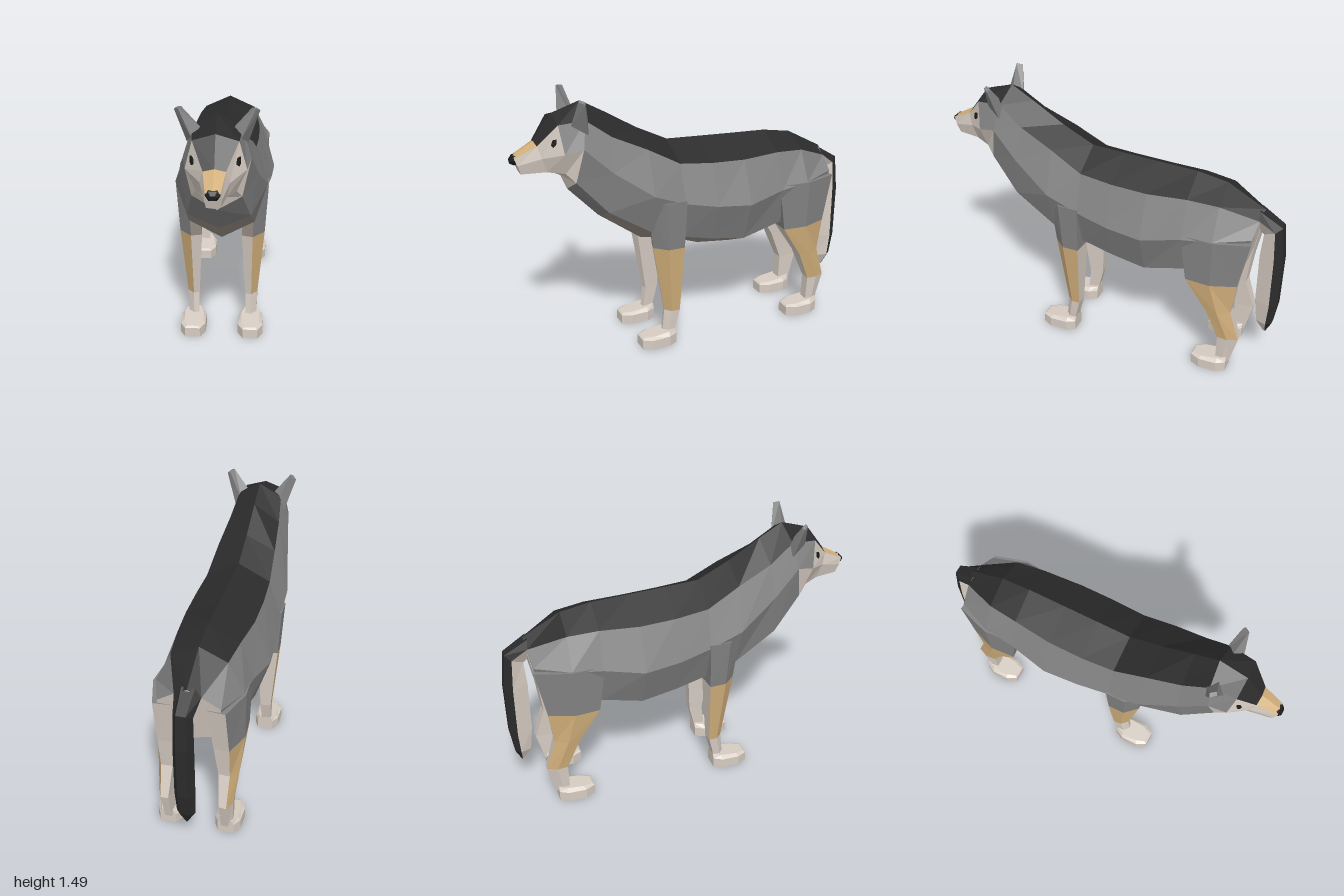
import * as THREE from 'three';

const makeMaterial = (name, color) => {
  const m = new THREE.MeshStandardMaterial({ color });
  m.name = name;
  return m;
};
const grey = makeMaterial('grey fur', 0x828282);
const black = makeMaterial('black saddle', 0x2b2b2b);
const cream = makeMaterial('cream fur', 0xd6ccc2);
const tan = makeMaterial('tan fur', 0xd0ae7a);
const taupe = makeMaterial('belly fur', 0x968d84);
const dark = makeMaterial('nose and soles', 0x1b1b1b);

// Loft closed rings of [x, y, z] into faceted faces; colourOf(row, column) picks each material.
function loft(name, rings, colourOf, capStart, capEnd) {
  const n = rings[0].length;
  const tris = [];
  const add = (a, b, c, mat) => tris.push({ p: [a, b, c], mat });
  for (let i = 0; i < rings.length - 1; i++) {
    for (let j = 0; j < n; j++) {
      const k = (j + 1) % n, a = rings[i], b = rings[i + 1], mat = colourOf(i, j);
      add(a[j], a[k], b[k], mat);
      add(a[j], b[k], b[j], mat);
    }
  }
  const cap = (ring, mat, reverse) => {
    const c = [0, 1, 2].map(d => ring.reduce((s, p) => s + p[d], 0) / n);
    ring.forEach((p, j) => {
      const q = ring[(j + 1) % n];
      if (reverse) add(c, q, p, mat);
      else add(c, p, q, mat);
    });
  };
  cap(rings[0], capStart, true);
  cap(rings[rings.length - 1], capEnd, false);

  // Turn all faces outward by the sign of the enclosed volume
  const o = new THREE.Vector3(...rings[0][0]);
  let volume = 0;
  for (const t of tris) {
    const [a, b, c] = t.p.map(p => new THREE.Vector3(...p).sub(o));
    volume += a.dot(b.cross(c));
  }
  const geometry = new THREE.BufferGeometry();
  const mats = [...new Set(tris.map(t => t.mat))];
  const pos = [];
  mats.forEach((mat, index) => {
    const start = pos.length / 3;
    for (const t of tris.filter(f => f.mat === mat)) {
      const p = volume < 0 ? [t.p[0], t.p[2], t.p[1]] : t.p;
      pos.push(...p.flat());
    }
    geometry.addGroup(start, pos.length / 3 - start, index);
  });
  geometry.setAttribute('position', new THREE.Float32BufferAttribute(pos, 3));
  geometry.computeVertexNormals();
  const mesh = new THREE.Mesh(geometry, mats);
  mesh.name = name;
  return mesh;
}

const flip = (rings, side) => rings.map(r => r.map(([x, y, z]) => [x * side, y, z]));

// Half section: spine, saddle edge, widest, lower side, underside; lean slides lower points along z
const halfSection = ([z, lean, top, saddleX, saddleY, wideX, wideY, lowX, lowY, bottom]) =>
  [[0, top], [saddleX, saddleY], [wideX, wideY], [lowX, lowY], [0, bottom]]
    .map(([x, y]) => [x, y, z + lean * (top - y)]);

const torso = [
  [-.87, .2, .985, .07, .945, .165, .88, .14, .68, .64],
  [-.66, 0, 1.1, .15, 1.03, .235, .86, .17, .63, .58],
  [-.49, 0, 1.13, .17, 1.045, .245, .84, .19, .62, .57],
  [-.27, 0, 1.14, .19, 1.04, .28, .8, .2, .57, .475],
  [-.07, 0, 1.15, .19, 1.05, .268, .82, .19, .6, .5],
  [.12, -.02, 1.16, .18, 1.07, .25, .86, .18, .64, .565],
].map(halfSection);
const neckAndHead = [
  [.3, -.02, 1.25, .165, 1.17, .248, .93, .18, .7, .6],
  [.48, .09, 1.36, .145, 1.26, .2, 1.08, .165, .85, .78],
  [.61, .19, 1.435, .125, 1.36, .168, 1.22, .125, 1.03, .96],
  [.77, -.12, 1.385, .112, 1.35, .15, 1.2, .1, 1.08, 1.04],
  [.87, -.3, 1.25, .055, 1.235, .072, 1.17, .058, 1.09, 1.085],
  [.985, -.35, 1.185, .036, 1.178, .042, 1.14, .034, 1.09, 1.085],
].map(halfSection);

function bodyColour(row, col) {
  const c = col > 3 ? 7 - col : col;
  if (c === 0) return row === 10 ? tan : black;
  if (row >= 9) return cream;
  if (row === 8) return c === 1 ? grey : cream;
  return c === 3 && row !== 7 ? taupe : grey;
}

// Leg ring: a five-sided outline fitted between inner and outer x, front and back z
const legRings = (outline, rows) => rows.map(([y, inner, outer, front, back]) =>
  outline.map(([u, v]) => [inner + (outer - inner) * u, y, front + (back - front) * v]));

const frontLeg = legRings([[0, .1], [.47, 0], [.98, .4], [1, .95], [.1, 1]], [
  [.88, .12, .255, .31, .1],
  [.6, .11, .237, .28, .11],
  [.2, .132, .2, .215, .13],
  [.06, .135, .195, .23, .165],
]);
const hindLeg = legRings([[0, .02], [.92, 0], [1, .5], [.65, 1], [.05, .98]], [
  [.86, .08, .246, -.48, -.855],
  [.585, .1, .24, -.52, -.8],
  [.4, .12, .224, -.64, -.775],
  [.22, .135, .205, -.715, -.83],
  [.05, .135, .197, -.71, -.785],
]);
const frontLegColour = (row, col) => {
  if (row === 0) return col === 0 ? taupe : grey;
  return row === 1 && (col === 1 || col === 2) ? tan : cream;
};
const hindLegColour = (row, col) => {
  if (col > 2) return cream;
  if (row === 0) return grey;
  return row < 3 && (col === 1 || col === 2) ? tan : cream;
};

// Paw rings stacked upward from the sole
function pawRings(heel) {
  const half = [[.045, 0], [.071, .05], [.071, .15], [.042, .205]];
  const outline = [...half, ...half.map(([x, z]) => [-x, z]).reverse()];
  const ring = (y, s, slope) =>
    outline.map(([x, z]) => [.163 + x * s, y - slope * z, heel + z * (s * .2 + .8)]);
  return [ring(0, 1, 0), ring(.06, 1, .02), ring(.085, .72, .1)];
}

const earRings = [
  [[.075, 1.37, .65], [.12, 1.34, .7], [.15, 1.29, .62], [.105, 1.32, .6]],
  [[.168, 1.485, .67], [.185, 1.478, .677], [.206, 1.466, .65], [.187, 1.475, .64]],
];

// Tail sections: y and z of the back, side and front, then the half width
const tailRings = [
  [.985, -.85, .945, -.86, .86, -.86, .07],
  [.905, -.98, .88, -.945, .84, -.88, .052],
  [.7, -1, .7, -.955, .7, -.868, .056],
  [.4, -.995, .4, -.955, .4, -.868, .056],
  [.27, -.975, .27, -.945, .26, -.885, .05],
  [.19, -.94, .19, -.935, .19, -.925, .004],
].map(([yb, zb, ys, zs, yf, zf, w]) => [
  [w * .5, yb, zb], [w, ys, zs], [w * .35, yf, zf],
  [-w * .35, yf, zf], [-w, ys, zs], [-w * .5, yb, zb],
]);

// Eye plate laid on the cheek face between the brow and muzzle sections
function eyeRings() {
  const [a, b, c, d] = [...neckAndHead[3].slice(1, 3), ...neckAndHead[4].slice(1, 3)]
    .map(p => new THREE.Vector3(...p));
  const at = (u, v) => a.clone().lerp(c, u).lerp(b.clone().lerp(d, u), v);
  const normal = at(.3, .4).sub(at(.3, .6)).cross(at(.2, .5).sub(at(.4, .5))).normalize();
  if (normal.x < 0) normal.negate();
  const shape = [[.18, .38], [.33, .32], [.44, .46], [.38, .6], [.26, .56]];
  return [-.001, .008].map(h => shape.map(([u, v]) => at(u, v).addScaledVector(normal, h).toArray()));
}

export function createModel() {
  const model = new THREE.Group();
  model.name = 'wolf';

  // Torso, neck and head
  const body = [...torso, ...neckAndHead]
    .map(h => [...h, ...h.slice(1, 4).reverse().map(([x, y, z]) => [-x, y, z])]);
  model.add(loft('bodyAndHead', body, bodyColour, cream, cream));

  // Tail with a black back and a cream underside
  model.add(loft('tail', tailRings, (row, col) => (col >= 1 && col <= 3 ? cream : black), cream, black));

  // Nose
  const nose = [[.022, 1.188], [.037, 1.168], [.02, 1.14], [-.02, 1.14], [-.037, 1.168], [-.022, 1.188]];
  const noseRing = (z, s) => nose.map(([x, y]) => [x * s, 1.155 + (y - 1.155) * s, z]);
  model.add(loft('nose', [noseRing(.955, 1), noseRing(.982, 1), noseRing(1, .5)], () => dark, dark, dark));

  // Paired parts
  for (const [side, label] of [[1, 'left'], [-1, 'right']]) {
    const pair = (name, rings, colour, start, end) =>
      model.add(loft(label + name, flip(rings, side), colour, start, end));
    pair('Ear', earRings, () => grey, grey, grey);
    pair('Eye', eyeRings(), () => dark, dark, dark);
    pair('FrontLeg', frontLeg, frontLegColour, grey, cream);
    pair('HindLeg', hindLeg, hindLegColour, grey, cream);
    pair('FrontPaw', pawRings(.16), () => cream, dark, cream);
    pair('HindPaw', pawRings(-.775), () => cream, dark, cream);
  }
  return model;
}
